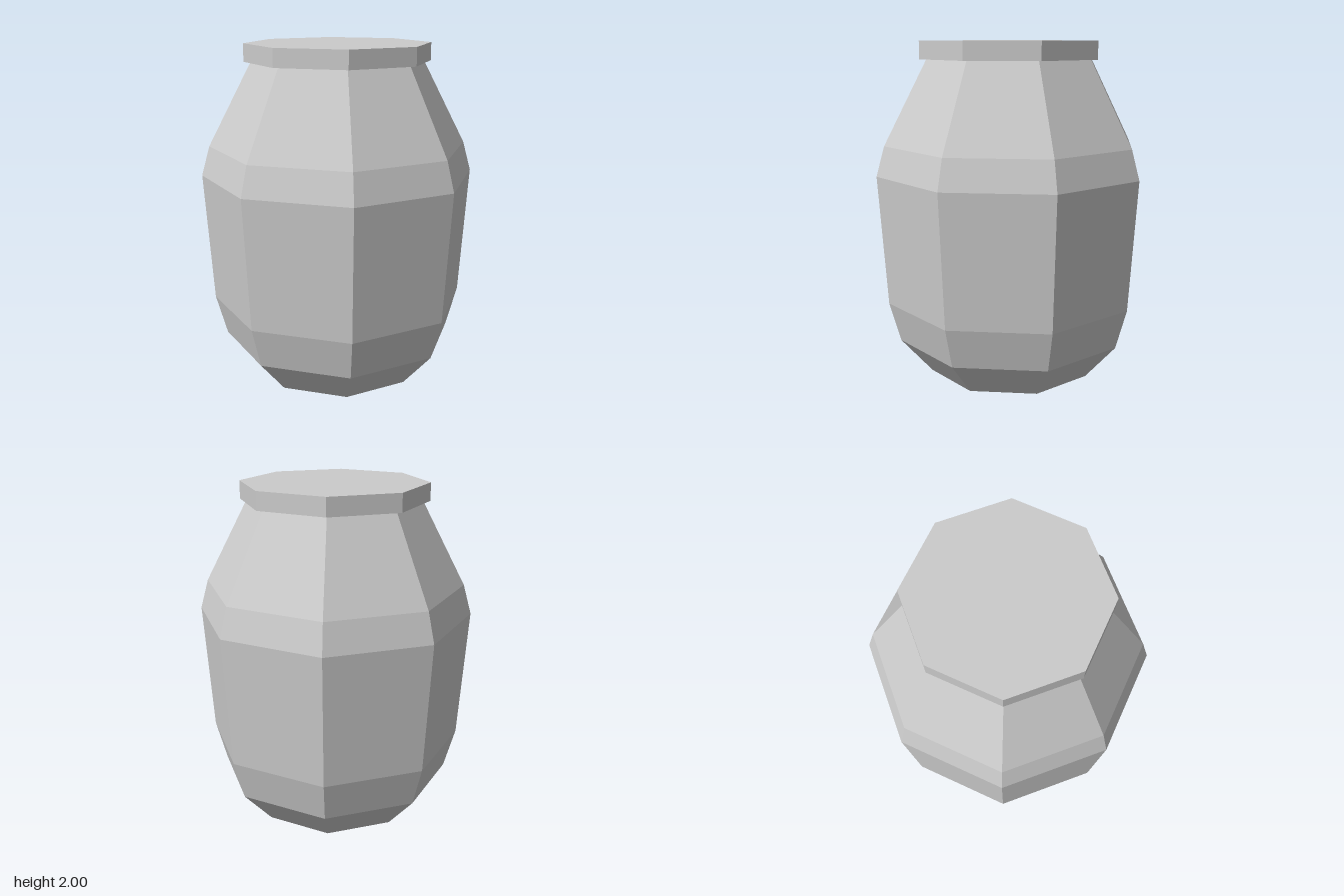
import * as THREE from 'three';

const SIDES = 8;

export function createModel() {
  const group = new THREE.Group();
  group.name = 'jar';
  const material = new THREE.MeshStandardMaterial({ color: 0xcccccc, flatShading: true });

  function addPart(name, geometry, y = 0) {
    const mesh = new THREE.Mesh(geometry, material);
    mesh.name = name;
    mesh.position.y = y;
    group.add(mesh);
  }

  // Body: eight-sided bulging profile with a closed base, from bottom to neck
  const profile = [
    [0, 0], [0.51, 0], [0.698, 0.217], [0.764, 0.457],
    [0.813, 1.23], [0.764, 1.405], [0.505, 1.9],
  ].map(([r, y]) => new THREE.Vector2(r, y));
  addPart('body', new THREE.LatheGeometry(profile, SIDES));

  // Lid: flat eight-sided disc overhanging the neck
  const lidHeight = 0.105;
  addPart('lid', new THREE.CylinderGeometry(0.548, 0.548, lidHeight, SIDES), 2 - lidHeight / 2);

  return group;
}
